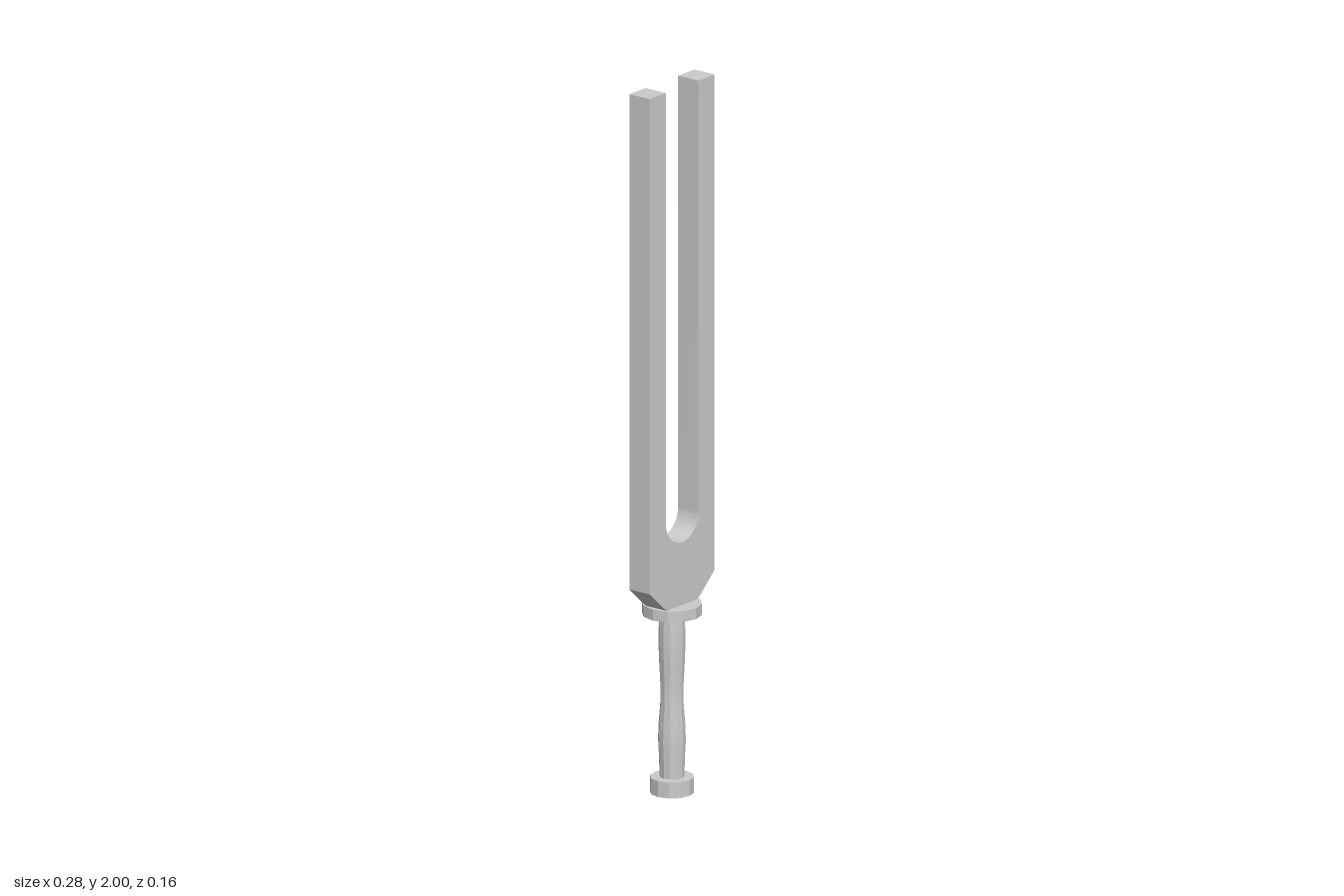
import * as THREE from 'three';
import { toCreasedNormals } from 'three/addons/utils/BufferGeometryUtils.js';

const SIDES = 12;

export function createModel() {
  const group = new THREE.Group();
  const smooth = new THREE.MeshStandardMaterial({ color: 0xcccccc });

  const add = (name, geometry) => {
    const mesh = new THREE.Mesh(geometry, smooth);
    mesh.name = name;
    group.add(mesh);
    return mesh;
  };

  // Two square prongs joined by a U-shaped yoke with chamfered shoulders
  const outer = 0.14, inner = 0.07, depth = 0.07, slotY = 0.783;
  const shape = new THREE.Shape();
  shape.moveTo(-0.06, 0.53);
  shape.lineTo(0.06, 0.53);
  shape.lineTo(0.085, 0.55);
  shape.lineTo(outer, 0.6);
  shape.lineTo(outer, 2);
  shape.lineTo(inner, 2);
  shape.lineTo(inner, slotY);
  shape.absarc(0, slotY, inner, 0, -Math.PI, true);
  shape.lineTo(-inner, 2);
  shape.lineTo(-outer, 2);
  shape.lineTo(-outer, 0.6);
  shape.lineTo(-0.085, 0.55);
  shape.closePath();
  const fork = new THREE.ExtrudeGeometry(shape, { depth, bevelEnabled: false, curveSegments: 16 });
  fork.translate(0, 0, -depth / 2);
  add('forkProngs', toCreasedNormals(fork, 0.5));

  // Faceted turned parts
  const disc = (name, radius, bottom, top) => {
    const geometry = new THREE.CylinderGeometry(radius, radius, top - bottom, SIDES);
    geometry.translate(0, (top + bottom) / 2, 0);
    add(name, toCreasedNormals(geometry, 0.4));
  };
  disc('collar', 0.082, 0.504, 0.535);
  disc('endCap', 0.06, 0, 0.045);

  // Grip with a gentle swell near each end
  const profile = [
    [0.034, 0.04], [0.035, 0.09], [0.038, 0.15], [0.036, 0.2], [0.032, 0.25],
    [0.032, 0.31], [0.035, 0.37], [0.037, 0.42], [0.036, 0.47], [0.034, 0.51],
  ].map(([r, y]) => new THREE.Vector2(r, y));
  add('handle', toCreasedNormals(new THREE.LatheGeometry(profile, SIDES), 0.4));

  return group;
}
